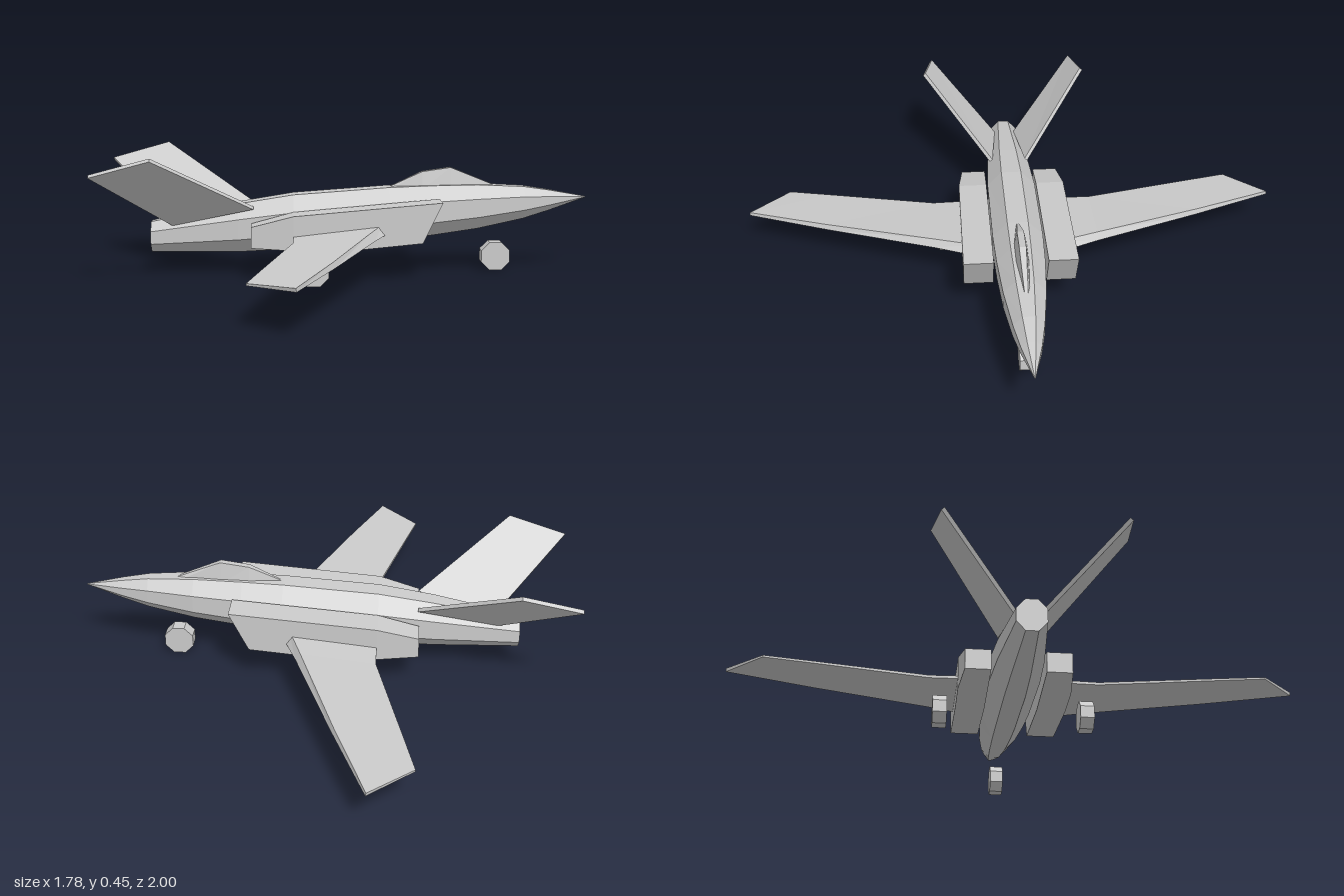
import * as THREE from 'three';

const material = new THREE.MeshStandardMaterial({ color: 0xcccccc, flatShading: true });

// Skins a row of equal-sized rings of [x, y, z] points and closes both ends.
function loft(name, rings) {
  const tris = [];
  const n = rings[0].length;
  for (let i = 0; i < rings.length - 1; i++) {
    for (let j = 0; j < n; j++) {
      const k = (j + 1) % n;
      const a = rings[i][j], b = rings[i][k], c = rings[i + 1][k], d = rings[i + 1][j];
      tris.push([a, b, c], [a, c, d]);
    }
  }
  const first = rings[0], last = rings[rings.length - 1];
  for (let j = 1; j < n - 1; j++) {
    tris.push([first[0], first[j + 1], first[j]], [last[0], last[j], last[j + 1]]);
  }
  // A negative volume means the faces point inward, so turn them round.
  let volume = 0;
  const v = tris.map((t) => t.map((p) => new THREE.Vector3(...p)));
  for (const [a, b, c] of v) volume += a.dot(b.clone().cross(c));
  if (volume < 0) v.forEach((t) => t.reverse());
  const geometry = new THREE.BufferGeometry().setFromPoints(v.flat());
  geometry.computeVertexNormals();
  const mesh = new THREE.Mesh(geometry, material);
  mesh.name = name;
  return mesh;
}

// Mirrors rings across the centre plane when side is -1.
const mirrored = (rings, side) => rings.map((r) => r.map(([x, y, z]) => [x, y, z * side]));

// Eight-sided body: x, bottom, top, half width
function fuselage() {
  const stations = [
    [-0.72, 0.08, 0.192, 0.05],
    [-0.4, 0.08, 0.258, 0.08],
    [-0.2, 0.09, 0.29, 0.09],
    [0.15, 0.118, 0.315, 0.09],
    [0.3, 0.135, 0.32, 0.085],
    [0.48, 0.16, 0.322, 0.073],
    [0.65, 0.195, 0.314, 0.052],
    [0.75, 0.225, 0.299, 0.034],
    [0.885, 0.27, 0.274, 0.002],
  ];
  return loft('fuselage', stations.map(([x, low, high, w]) => {
    const ring = [];
    for (let i = 0; i < 8; i++) {
      const a = ((i + 0.5) * Math.PI) / 4;
      const s = 1 / Math.cos(Math.PI / 8);
      ring.push([x, (low + high) / 2 + (Math.sin(a) * s * (high - low)) / 2, Math.cos(a) * s * w]);
    }
    return ring;
  }));
}

// Canopy: x, base, top, base half width, top half width
function canopy() {
  const stations = [
    [0.16, 0.305, 0.317, 0.008, 0.004],
    [0.275, 0.305, 0.37, 0.024, 0.012],
    [0.38, 0.305, 0.385, 0.024, 0.012],
    [0.54, 0.305, 0.32, 0.014, 0.006],
  ];
  return loft('canopy', stations.map(([x, low, high, w, t]) =>
    [[x, low, w], [x, high, t], [x, high, -t], [x, low, -w]]));
}

// Engine intake box with a raked mouth: bottom x, top x, bottom, top, outer z
function intake(name, side) {
  const stations = [
    [-0.35, -0.35, 0.12, 0.195, 0.185],
    [-0.2, -0.2, 0.112, 0.235, 0.2],
    [-0.06, -0.06, 0.105, 0.247, 0.2],
    [0.26, 0.33, 0.135, 0.28, 0.2],
  ];
  return loft(name, mirrored(stations.map(([xb, xt, low, high, z]) =>
    [[xb, low, z], [xt, high, z], [xt, high, 0.095], [xb, low, 0.095]]), side));
}

// Wing sections: leading top, leading bottom, trailing bottom, trailing top
function wing(name, side) {
  return loft(name, mirrored([
    [[0.12, 0.198, 0.15], [0.145, 0.166, 0.15], [-0.2, 0.152, 0.15], [-0.2, 0.163, 0.15]],
    [[0.065, 0.19, 0.3], [0.082, 0.163, 0.3], [-0.2, 0.15, 0.3], [-0.2, 0.16, 0.3]],
    [[-0.077, 0.17, 0.7], [-0.07, 0.151, 0.7], [-0.3, 0.139, 0.7], [-0.3, 0.147, 0.7]],
    [[-0.192, 0.156, 1], [-0.19, 0.144, 1], [-0.34, 0.134, 0.86], [-0.34, 0.141, 0.86]],
  ], side));
}

// Canted tail fin: one flat outline, thickened across its face
function tailFin(name, side) {
  const outline = [
    [-0.345, 0.247, 0.068],
    [-0.64, 0.186, 0.044],
    [-0.897, 0.392, 0.292],
    [-0.685, 0.45, 0.318],
  ];
  const face = (t) => outline.map(([x, y, z]) => [x, y + t, z - t]);
  return loft(name, mirrored([face(-0.005), face(0.005)], side));
}

function wheel(name, x, z) {
  const geometry = new THREE.CylinderGeometry(0.057, 0.057, 0.05, 8, 1, false, Math.PI / 8);
  geometry.rotateX(Math.PI / 2);
  const mesh = new THREE.Mesh(geometry, material);
  mesh.position.set(x, 0.053, z);
  mesh.name = name;
  return mesh;
}

export function createModel() {
  const model = new THREE.Group();
  model.name = 'jet';
  model.add(fuselage(), canopy(), wheel('noseWheel', 0.55, 0));
  // The nose points along +x, so starboard is +z.
  for (const [label, side] of [['starboard', 1], ['port', -1]]) {
    model.add(
      intake(label + 'Intake', side),
      wing(label + 'Wing', side),
      tailFin(label + 'TailFin', side),
      wheel(label + 'MainWheel', -0.13, side * 0.26),
    );
  }
  return model;
}
